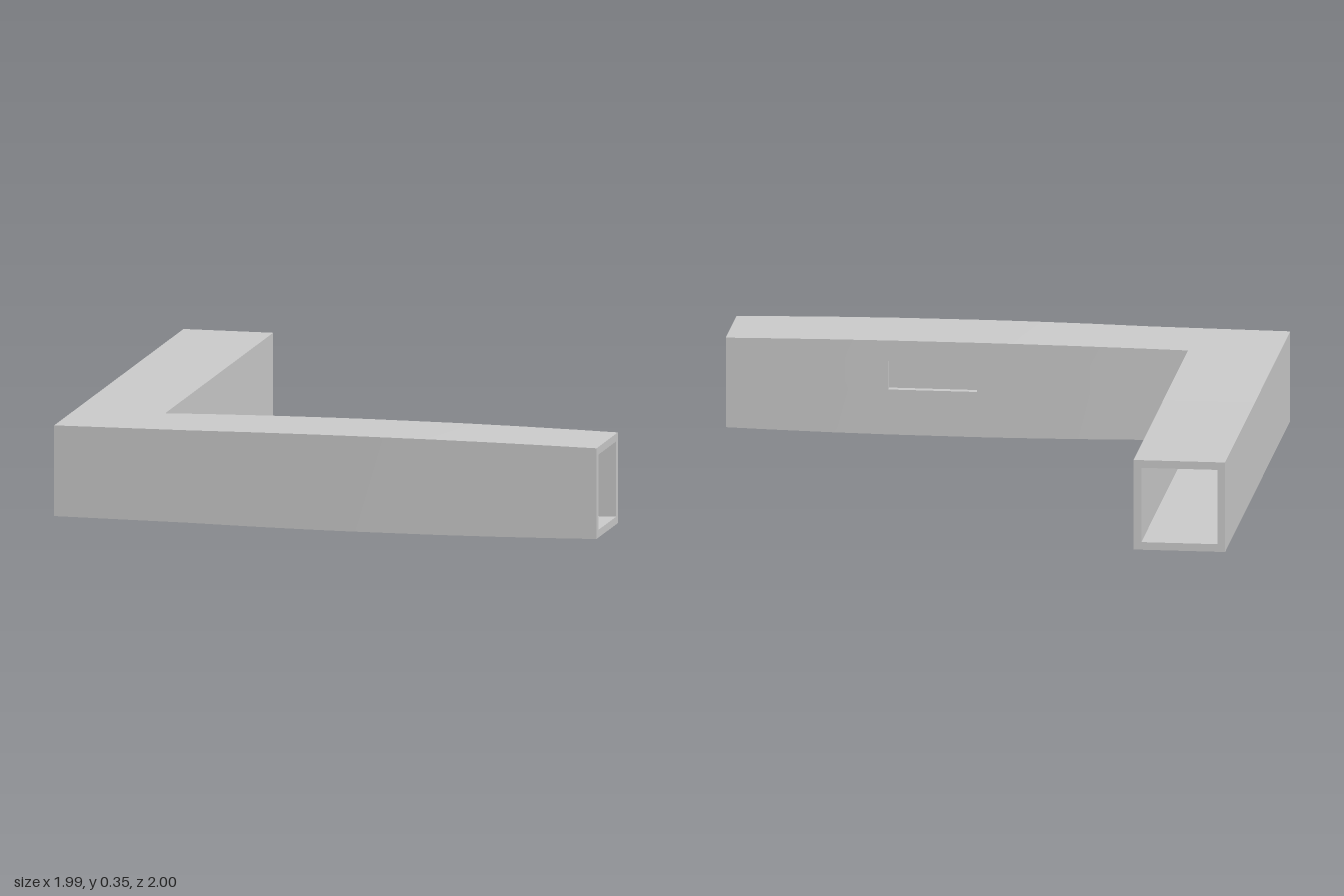
import * as THREE from 'three';
import { toCreasedNormals } from 'three/addons/utils/BufferGeometryUtils.js';

const HALF = 0.1645, WALL = 0.028;           // square tube section
const CX = -0.831, CZ = 0.8265, CY = 0.1725; // centre lines of the two arms
const SLOT = { top: 0.093, bottom: -0.007, from: 0.09, to: 0.41 };

// Square section (u points to the outside of the L, v up), with the slot heights on its inner side
function section(h, swell) {
  return [[-h, -h], [h, -h], [h, h], [-h, h], [-h, SLOT.top], [-h, SLOT.bottom]]
    .map(([u, v]) => [u * swell, v * swell]);
}

export function createModel() {
  // Stations along the L: rear end, mitred corner, then along the slightly bulging front arm
  const stations = [
    { place: (u, v) => [CX - u, CY + v, -1], swell: 1 },
    { place: (u, v) => [CX - u, CY + v, CZ + u], swell: 1 },
  ];
  const xs = [-0.5, -0.27, -0.05, SLOT.from, SLOT.to, 0.62, 0.85, 0.995];
  for (const x of xs) {
    const k = (x - 0.164) / 0.831;
    stations.push({ place: (u, v) => [x, CY + v, CZ + u], swell: 1 + 0.054 * (1 - k * k) });
  }
  const ring = h => stations.map(s => section(h, s.swell).map(([u, v]) => s.place(u, v)));
  const outer = ring(HALF), inner = ring(HALF - WALL);

  const pos = [];
  const quad = (a, b, c, d) => pos.push(...a, ...b, ...c, ...a, ...c, ...d);
  const last = stations.length - 1;
  const slotSpan = 2 + xs.indexOf(SLOT.from);

  // Outer and inner skins, leaving the slot open
  for (let i = 0; i < last; i++) {
    for (let j = 0; j < 6; j++) {
      if (i === slotSpan && j === 4) continue;
      const n = (j + 1) % 6;
      quad(outer[i][j], outer[i + 1][j], outer[i + 1][n], outer[i][n]);
      quad(inner[i][n], inner[i + 1][n], inner[i + 1][j], inner[i][j]);
    }
  }
  // Rims of the two open ends
  for (let j = 0; j < 6; j++) {
    const n = (j + 1) % 6;
    quad(outer[0][j], outer[0][n], inner[0][n], inner[0][j]);
    quad(inner[last][j], inner[last][n], outer[last][n], outer[last][j]);
  }
  // Wall thickness around the slot
  const [oA, oB, iA, iB] = [outer[slotSpan], outer[slotSpan + 1], inner[slotSpan], inner[slotSpan + 1]];
  quad(oA[4], oB[4], iB[4], iA[4]);
  quad(iA[5], iB[5], oB[5], oA[5]);
  quad(oB[4], oB[5], iB[5], iB[4]);
  quad(iA[4], iA[5], oA[5], oA[4]);

  const geometry = new THREE.BufferGeometry();
  geometry.setAttribute('position', new THREE.Float32BufferAttribute(pos, 3));
  const tube = new THREE.Mesh(
    toCreasedNormals(geometry, 0.5),
    new THREE.MeshStandardMaterial({ color: 0xcccccc }),
  );
  tube.name = 'cornerTube';

  const group = new THREE.Group();
  group.name = 'squareTubeCorner';
  group.add(tube);
  return group;
}
